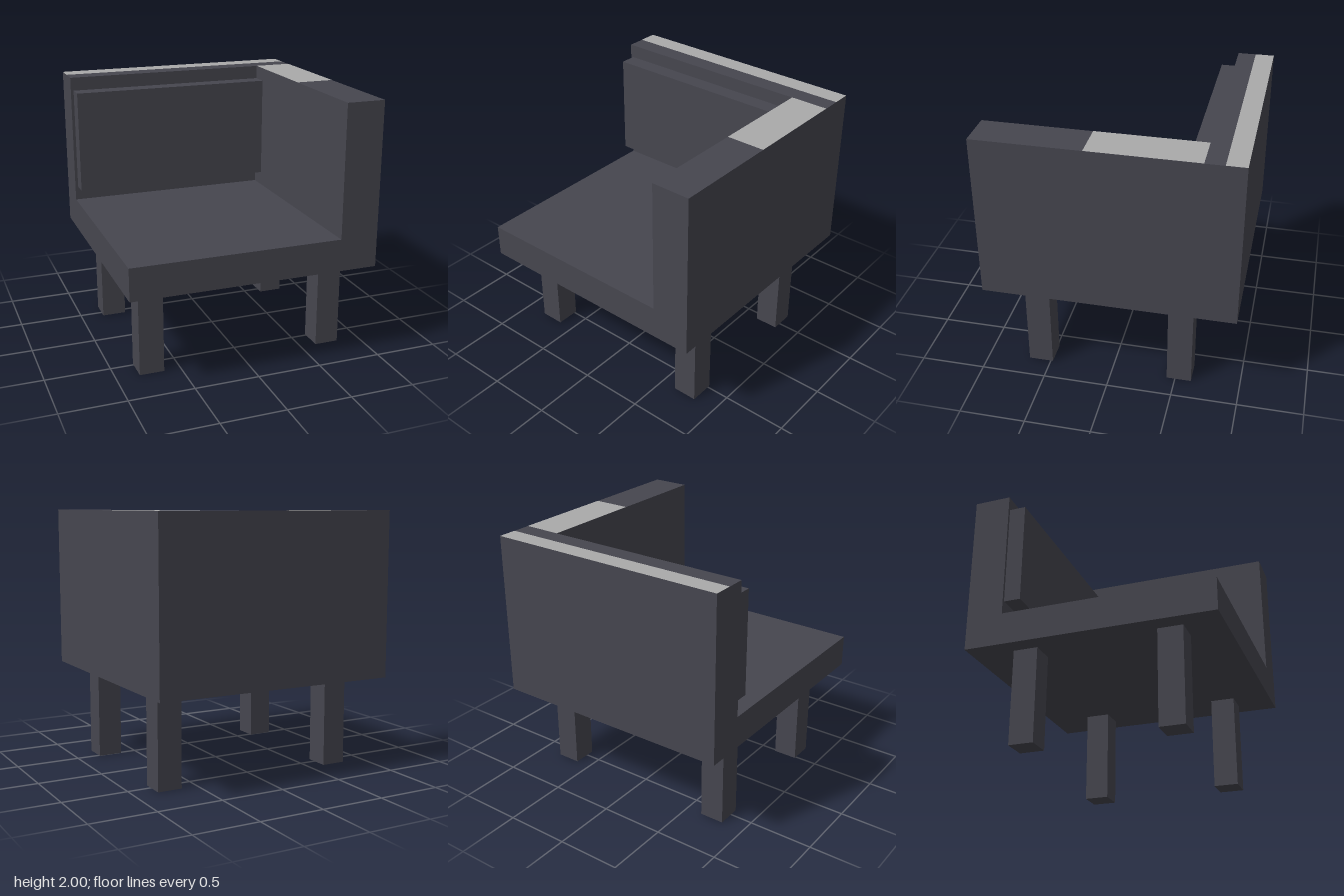
import * as THREE from 'three';

export function createModel() {
  const chair = new THREE.Group();
  chair.name = 'cornerChair';

  const fabric = new THREE.MeshStandardMaterial({ color: 0x46464f });
  fabric.name = 'charcoal';
  const trim = new THREE.MeshStandardMaterial({ color: 0xaaaaaa });
  trim.name = 'lightGrey';

  // Box given by its extents along each axis
  function block(name, [x0, x1], [y0, y1], [z0, z1]) {
    const mesh = new THREE.Mesh(new THREE.BoxGeometry(x1 - x0, y1 - y0, z1 - z0), fabric);
    mesh.position.set((x0 + x1) / 2, (y0 + y1) / 2, (z0 + z1) / 2);
    mesh.name = name;
    chair.add(mesh);
  }

  // Flat upward-facing panel just above the top edge
  function topPanel(name, [x0, x1], [z0, z1]) {
    const geometry = new THREE.PlaneGeometry(x1 - x0, z1 - z0).rotateX(-Math.PI / 2);
    const mesh = new THREE.Mesh(geometry, trim);
    mesh.position.set((x0 + x1) / 2, 2.001, (z0 + z1) / 2);
    mesh.name = name;
    chair.add(mesh);
  }

  const E = 0.957; // half width of the body

  // Seat, backrest, single armrest and back cushion
  block('seat', [-E, 0.66], [0.73, 0.98], [-0.67, E]);
  block('backrest', [-E, E], [0.73, 2], [-E, -0.67]);
  block('armrest', [0.66, E], [0.73, 2], [-0.67, E]);
  block('backCushion', [-0.935, 0.66], [1.09, 1.895], [-0.67, -0.54]);

  // Pale panels on the top edges
  topPanel('backrestTopPanel', [-E, E], [-E, -0.81]);
  topPanel('armrestTopPanel', [0.66, E], [-0.67, 0.145]);

  // Square legs
  for (const [side, x] of [['Left', [0.628, 0.817]], ['Right', [-0.82, -0.63]]]) {
    block('front' + side + 'Leg', x, [0, 0.73], [0.483, 0.673]);
    block('back' + side + 'Leg', x, [0, 0.73], [-0.625, -0.435]);
  }

  return chair;
}
